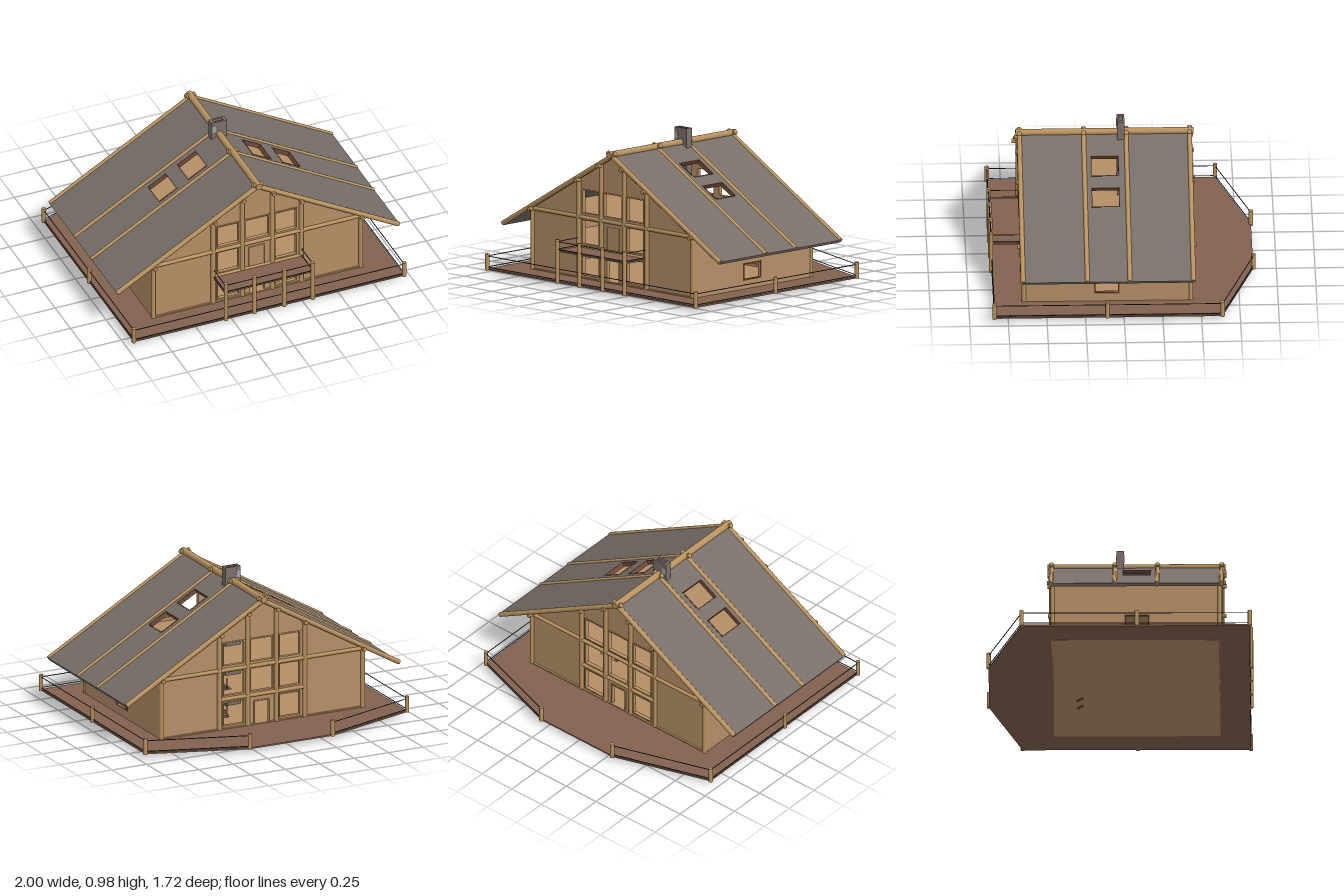
import * as THREE from 'three';

const mat = (name, color) => {
  const m = new THREE.MeshStandardMaterial({ color });
  m.name = name;
  return m;
};

export function createModel() {
  const house = new THREE.Group();
  house.name = 'chalet';
  const wall = mat('wall timber', 0xb48e66);
  const log = mat('log wood', 0xb8925f);
  const deckMat = mat('deck boards', 0x83624f);
  const roofMat = mat('roof slate', 0x776e68);
  const frameMat = mat('dark frame', 0x704a38);
  const wire = mat('rail cable', 0x3a3f48);
  const stone = mat('chimney stone', 0x7c7069);
  const paleStone = mat('pale stone', 0xa3a3a2);

  const add = (name, geo, m, parent = house) => {
    const mesh = new THREE.Mesh(geo, m);
    mesh.name = name;
    parent.add(mesh);
    return mesh;
  };
  const box = (name, m, x0, x1, y0, y1, z0, z1) => {
    const b = add(name, new THREE.BoxGeometry(x1 - x0, y1 - y0, z1 - z0), m);
    b.position.set((x0 + x1) / 2, (y0 + y1) / 2, (z0 + z1) / 2);
    return b;
  };
  // Round bar between two points
  const bar = (name, m, a, b, r, sides = 12) => {
    const p = new THREE.Vector3(...a), q = new THREE.Vector3(...b);
    const d = q.clone().sub(p);
    const c = add(name, new THREE.CylinderGeometry(r, r, d.length(), sides), m);
    c.position.copy(p).add(q).multiplyScalar(0.5);
    c.quaternion.setFromUnitVectors(new THREE.Vector3(0, 1, 0), d.normalize());
    return c;
  };
  const poly = pts => new THREE.Shape(pts.map(p => new THREE.Vector2(...p)));
  const rect = (x0, x1, y0, y1) => poly([[x0, y0], [x1, y0], [x1, y1], [x0, y1]]);
  const panel = (pts, holes, depth) => {
    const s = poly(pts);
    holes.forEach(h => s.holes.push(rect(...h)));
    return new THREE.ExtrudeGeometry(s, { depth, bevelEnabled: false });
  };

  const slope = 0.575, ridgeY = 0.882;
  const roofY = x => ridgeY - slope * Math.abs(x);
  const zFront = 0.64, zBack = -0.43, G = 0.03;

  // Deck, with the house floor set into it
  const outline = [[-0.95, 0.84], [0.95, 0.84], [0.95, -0.635], [0.3, -0.85], [-0.3, -0.85], [-0.95, -0.635]];
  const deck = add('deck', panel(outline, [], 0.01), deckMat);
  deck.rotation.x = Math.PI / 2;
  deck.position.y = 0.038;
  box('groundFloor', wall, -0.735, 0.735, 0.026, 0.042, zBack, zFront);

  // Deck posts and cables; the middle of the back stays open
  const postSpots = [...outline, [0.95, 0.11], [-0.95, 0.11]];
  postSpots.forEach(([x, z]) => bar('railPost', log, [x, 0.028, z], [x, 0.135, z], 0.014));
  outline.forEach((a, i) => {
    if (i === 3) return;
    const b = outline[(i + 1) % outline.length];
    [0.048, 0.12].forEach(y => bar('railCable', wire, [a[0], y, a[1]], [b[0], y, b[1]], 0.003, 6));
  });

  // Gable walls with window openings
  const gable = [[-0.735, G], [0.735, G], [0.735, roofY(0.735) - 0.015], [0, ridgeY - 0.015], [-0.735, roofY(0.735) - 0.015]];
  const rows = [[0.06, 0.212], [0.265, 0.42], [0.468, 0.618]];
  const sideHoles = [];
  rows.forEach(([y0, y1]) => sideHoles.push([-0.275, -0.13, y0, y1], [0.13, 0.275, y0, y1]));
  const topHole = [-0.08, 0.08, 0.468, 0.618];
  const doorHole = [-0.052, 0.052, 0.043, 0.192];
  const frontHoles = [...sideHoles, topHole, doorHole];
  const backHoles = [...frontHoles, [-0.08, 0.08, 0.265, 0.42]];
  add('frontWall', panel(gable, frontHoles, 0.02), wall).position.z = zFront - 0.02;
  add('backWall', panel(gable, backHoles, 0.02), wall).position.z = zBack;

  // Slim frames round the gable openings
  const frameRing = (x0, x1, y0, y1, z, m) => {
    const t = 0.008;
    const o = [[x0 - t, y0 - t], [x1 + t, y0 - t], [x1 + t, y1 + t], [x0 - t, y1 + t]];
    add('windowFrame', panel(o, [[x0, x1, y0, y1]], 0.012), m).position.z = z - 0.006;
  };
  frontHoles.forEach(h => frameRing(...h, zFront, log));
  backHoles.forEach(h => frameRing(...h, zBack, log));
  // Balcony door
  frameRing(-0.05, 0.05, 0.25, 0.395, zFront, log);
  box('balconyDoor', wall, -0.05, 0.05, 0.25, 0.395, zFront - 0.001, zFront + 0.003);

  // Side walls, each with one window
  [-1, 1].forEach(s => {
    const w = add('sideWall', panel([[-zFront, G], [-zBack, G], [-zBack, 0.45], [-zFront, 0.45]], [[-0.183, -0.035, 0.1, 0.2]], 0.02), wall);
    w.rotation.y = Math.PI / 2;
    w.position.x = s > 0 ? 0.718 : -0.738;
    const ring = add('sideWindowFrame', panel([[-0.19, 0.093], [-0.028, 0.093], [-0.028, 0.207], [-0.19, 0.207]], [[-0.183, -0.035, 0.1, 0.2]], 0.024), frameMat);
    ring.rotation.y = Math.PI / 2;
    ring.position.x = s > 0 ? 0.717 : -0.741;
  });

  // Upper floors, the lower one open above the stairs
  const middle = add('middleFloor', panel([[-0.72, zBack + 0.01], [0.72, zBack + 0.01], [0.72, zFront - 0.01], [-0.72, zFront - 0.01]], [[0.14, 0.285, -0.28, 0.1]], 0.014), wall);
  middle.rotation.x = Math.PI / 2;
  middle.position.y = 0.247;
  box('atticFloor', wall, -0.72, 0.72, 0.432, 0.446, zBack + 0.01, zFront - 0.01);

  // Logs on both gables
  [[zFront, 1], [zBack, -1]].forEach(([z, d]) => {
    const zc = z + d * 0.004;
    [0.105, 0.31, 0.73].forEach(x => [-x, x].forEach(px =>
      bar('gablePost', log, [px, 0.028, zc], [px, roofY(px) - 0.01, zc], 0.015)));
    bar('gableBeam', log, [-0.745, 0.438, zc], [0.745, 0.438, zc], 0.013);
    bar('gableBeam', log, [-0.31, 0.24, zc], [0.31, 0.24, zc], 0.013);
    box('sill', log, -0.735, 0.735, 0.028, 0.045, zc - 0.008, zc + 0.008);
  });

  // Purlins running through the house
  [[0.105, 0.8], [0.305, 0.682], [0.73, 0.437]].forEach(([x, y]) => [-x, x].forEach(px =>
    bar('purlin', log, [px, y, zBack - 0.04], [px, y, zFront + 0.045], 0.014)));
  bar('ridgeLog', log, [0, 0.885, -0.47], [0, 0.885, 0.68], 0.022, 16);

  // Roof slopes with two skylights each
  const angle = Math.atan(slope), c = Math.cos(angle);
  [1, -1].forEach(s => {
    const side = new THREE.Group();
    side.name = s > 0 ? 'leftRoof' : 'rightRoof';
    const zs = (a, b) => [Math.min(-s * a, -s * b), Math.max(-s * a, -s * b)];
    const [e0, e1] = zs(-0.445, 0.655), [h0, h1] = zs(0.015, 0.2);
    const L = 0.985 / c;
    const lights = [[0.15, 0.285], [0.36, 0.49]].map(([a, b]) => [a / c, b / c, h0, h1]);
    const slab = new THREE.Group();
    slab.name = 'roofSlope';
    add('roofSlab', panel([[0, e0], [L, e0], [L, e1], [0, e1]], lights, 0.02), roofMat, slab);
    lights.forEach(([a, b, p, q]) => {
      const t = 0.006;
      add('skylightFrame', panel([[a, p], [b, p], [b, q], [a, q]], [[a + t, b - t, p + t, q - t]], 0.03), frameMat, slab).position.z = -0.008;
    });
    slab.matrixAutoUpdate = true;
    const basis = new THREE.Matrix4().makeBasis(
      new THREE.Vector3(c, -Math.sin(angle), 0),
      new THREE.Vector3(0, 0, -1),
      new THREE.Vector3(Math.sin(angle), c, 0));
    slab.quaternion.setFromRotationMatrix(basis);
    slab.position.set(0, ridgeY - 0.022, 0);
    side.add(slab);
    side.rotation.y = s > 0 ? 0 : Math.PI;
    house.add(side);
    // Rafter logs crossing at the ridge
    [0.655, 0.24, -0.035, -0.445].forEach(z =>
      bar('rafterLog', log, [-s * 0.035, ridgeY + slope * 0.035 - 0.006, z], [s * 0.99, roofY(0.99) - 0.006, z], 0.016));
  });

  // Balcony on four posts
  box('balconyFloor', deckMat, -0.31, 0.31, 0.232, 0.242, zFront, 0.838);
  [-0.305, -0.105, 0.105, 0.305].forEach(x => bar('balconyPost', log, [x, 0.028, 0.845], [x, 0.315, 0.845], 0.014));
  [0.25, 0.3].forEach(y => {
    bar('balconyCable', wire, [-0.305, y, 0.845], [0.305, y, 0.845], 0.003, 6);
    [-0.308, 0.308].forEach(x => bar('balconyCable', wire, [x, y, zFront], [x, y, 0.845], 0.003, 6));
  });

  // Chimney with a hollow top and pale stone patches
  box('chimney', stone, -0.055, 0.055, 0.04, 0.93, -0.024, 0.024);
  const cap = add('chimneyTop', panel([[-0.055, -0.024], [0.055, -0.024], [0.055, 0.024], [-0.055, 0.024]], [[-0.035, 0.035, -0.012, 0.012]], 0.05), stone);
  cap.rotation.x = Math.PI / 2;
  cap.position.y = 0.98;
  const patches = [
    [[-0.053, 0.48], [-0.015, 0.49], [-0.02, 0.54], [-0.053, 0.56]],
    [[0, 0.57], [0.05, 0.55], [0.052, 0.61], [0.015, 0.62]],
    [[-0.053, 0.9], [-0.02, 0.91], [-0.03, 0.96], [-0.053, 0.95]],
    [[-0.05, 0.1], [-0.01, 0.13], [0.01, 0.19], [-0.05, 0.17]]
  ];
  [0.022, -0.027].forEach(z => patches.forEach(p => add('stonePatch', panel(p, [], 0.005), paleStone).position.z = z));

  // Straight stairs to the middle floor
  const n = 9;
  for (let i = 0; i < n; i++) {
    const y = 0.05 + i * 0.021, z = -0.235 + i * 0.036;
    box('stairTread', deckMat, 0.15, 0.275, y, y + 0.014, z - 0.022, z + 0.022);
  }
  [0.155, 0.27].forEach(x => bar('stairStringer', frameMat, [x, 0.006, -0.28], [x, 0.235, 0.09], 0.006, 8));
  bar('stairRailPost', wire, [0.155, 0.04, -0.24], [0.155, 0.31, -0.24], 0.003, 6);
  bar('stairRailPost', wire, [0.155, 0.22, 0.09], [0.155, 0.31, 0.09], 0.003, 6);

  return house;
}
